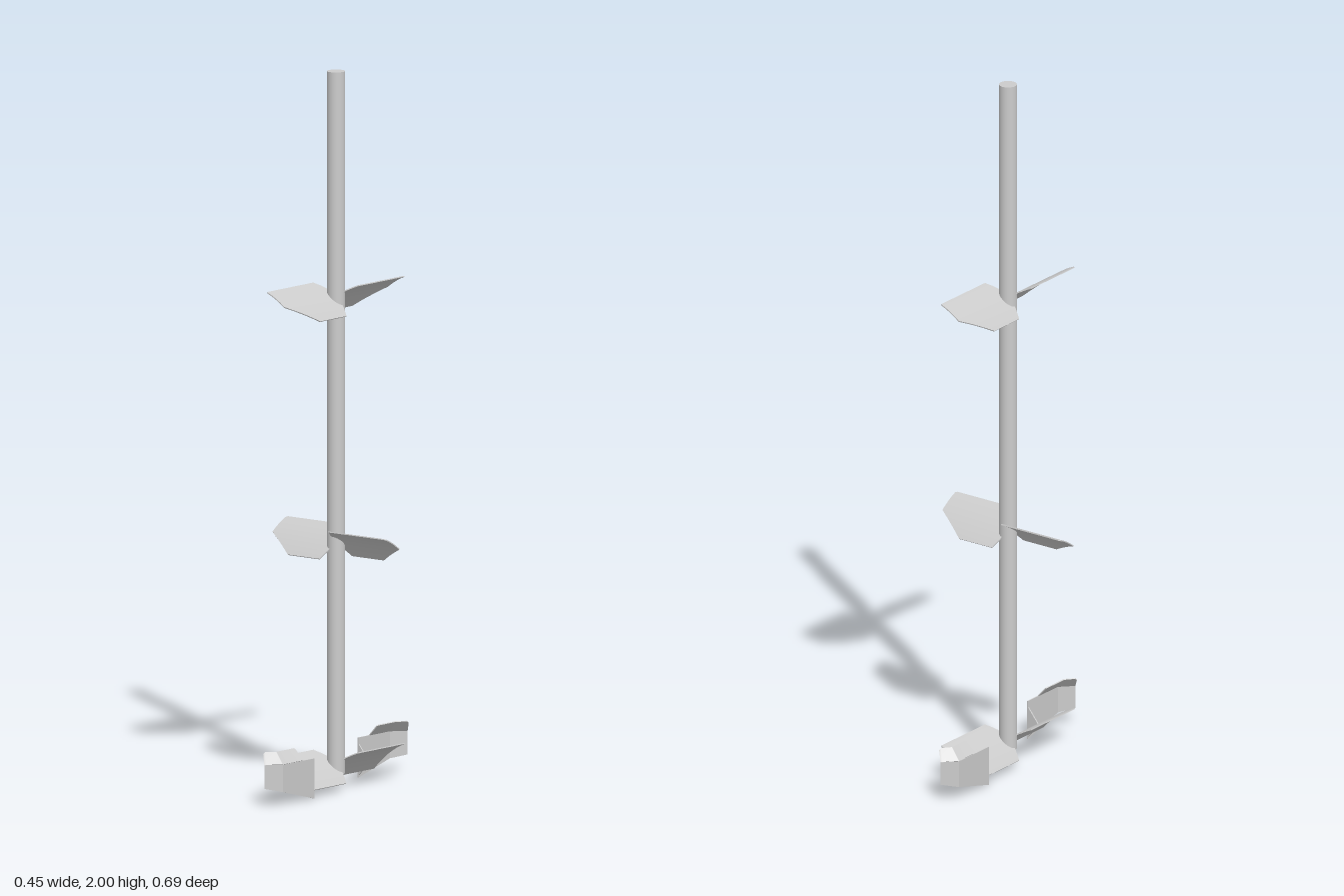
import * as THREE from 'three';
import { toCreasedNormals } from 'three/addons/utils/BufferGeometryUtils.js';

const material = new THREE.MeshStandardMaterial({ color: 0xcccccc, side: THREE.DoubleSide });
const V = (x, y, z) => new THREE.Vector3(x, y, z);

function mesh(geometry, name) {
  const m = new THREE.Mesh(geometry, material);
  m.name = name;
  return m;
}

// Thin sheet of metal swept through a list of [a, b] edge pairs
function sheet(pairs, thickness = 0.003) {
  const sections = pairs.map(([a, b], i) => {
    const mid = (p) => p[0].clone().add(p[1]);
    const along = mid(pairs[Math.min(i + 1, pairs.length - 1)]).sub(mid(pairs[Math.max(i - 1, 0)]));
    const n = along.cross(b.clone().sub(a)).setLength(thickness / 2);
    return [a.clone().add(n), b.clone().add(n), b.clone().sub(n), a.clone().sub(n)];
  });
  const pos = [];
  const quad = (a, b, c, d) => [a, b, c, a, c, d].forEach((p) => pos.push(p.x, p.y, p.z));
  for (let i = 0; i < sections.length - 1; i++) {
    const s = sections[i], t = sections[i + 1];
    for (let k = 0; k < 4; k++) quad(s[k], t[k], t[(k + 1) % 4], s[(k + 1) % 4]);
  }
  quad(...sections[0]);
  quad(...[...sections[sections.length - 1]].reverse());
  const g = new THREE.BufferGeometry();
  g.setAttribute('position', new THREE.Float32BufferAttribute(pos, 3));
  return toCreasedNormals(g, 0.5);
}

// Pitched, cambered blade pointing along +z; w runs across from low to high edge
function blade(clipped) {
  const stations = [-0.05, -0.04, -0.03, -0.015, 0, 0.015, 0.03, 0.045, 0.058, 0.062];
  return sheet(stations.map((w) => {
    const y = 0.77 * w - 3.3 * w * w;
    const inner = THREE.MathUtils.clamp((Math.abs(w) - 0.022) * 0.6, 0, 0.022);
    let outer = 0.225;
    if (clipped && w < 0) outer += w * 1.9;
    if (w > 0.06) outer -= 0.004;
    return [V(-w, y, inner), V(-w, y, outer)];
  }));
}

// Wing at the tip of a bottom blade: upright plate, leaning top flange, gusset
function tipWing() {
  const wing = new THREE.Group();
  wing.name = 'tipWing';
  wing.add(mesh(sheet([
    [V(0.061, 0, 0.17), V(0.061, 0.112, 0.17)],
    [V(0.061, 0.036, 0.307), V(0.061, 0.112, 0.307)],
    [V(0.026, 0.046, 0.343), V(0.026, 0.112, 0.343)],
  ]), 'wingPlate'));
  wing.add(mesh(sheet([
    [V(0.061, 0.112, 0.219), V(0.034, 0.141, 0.219)],
    [V(0.061, 0.112, 0.222), V(0.031, 0.143, 0.222)],
    [V(0.061, 0.112, 0.307), V(0.031, 0.143, 0.298)],
    [V(0.030, 0.112, 0.339), V(0.011, 0.143, 0.322)],
    [V(0.026, 0.112, 0.343), V(0.009, 0.138, 0.327)],
  ]), 'wingFlange'));
  const outline = new THREE.Shape([
    [0.025, 0.05], [0.048, 0.02], [0.061, 0.005], [0.061, 0.095],
  ].map(([x, y]) => new THREE.Vector2(x, y)));
  const gusset = new THREE.ExtrudeGeometry(outline, { depth: 0.004, bevelEnabled: false });
  wing.add(mesh(gusset.translate(0, 0, 0.171), 'wingGusset'));
  return wing;
}

// Two opposite blades on the shaft
function impeller(name, y, turn, withWings) {
  const group = new THREE.Group();
  group.name = name;
  for (let i = 0; i < 2; i++) {
    const arm = new THREE.Group();
    arm.name = 'bladeArm';
    arm.rotation.y = turn + i * Math.PI;
    const b = mesh(blade(!withWings), 'blade');
    b.position.y = y;
    arm.add(b);
    if (withWings) arm.add(tipWing());
    group.add(arm);
  }
  return group;
}

export function createModel() {
  const model = new THREE.Group();
  model.name = 'stirrer';

  // Shaft
  const bottom = 0.042, top = 2;
  const shaft = mesh(new THREE.CylinderGeometry(0.025, 0.025, top - bottom, 40), 'shaft');
  shaft.position.y = (top + bottom) / 2;
  model.add(shaft);

  // Three impellers, each a quarter turn from the next
  model.add(impeller('upperImpeller', 1.37, 0, false));
  model.add(impeller('middleImpeller', 0.69, Math.PI / 2, false));
  model.add(impeller('bottomImpeller', 0.067, 0, true));
  return model;
}
